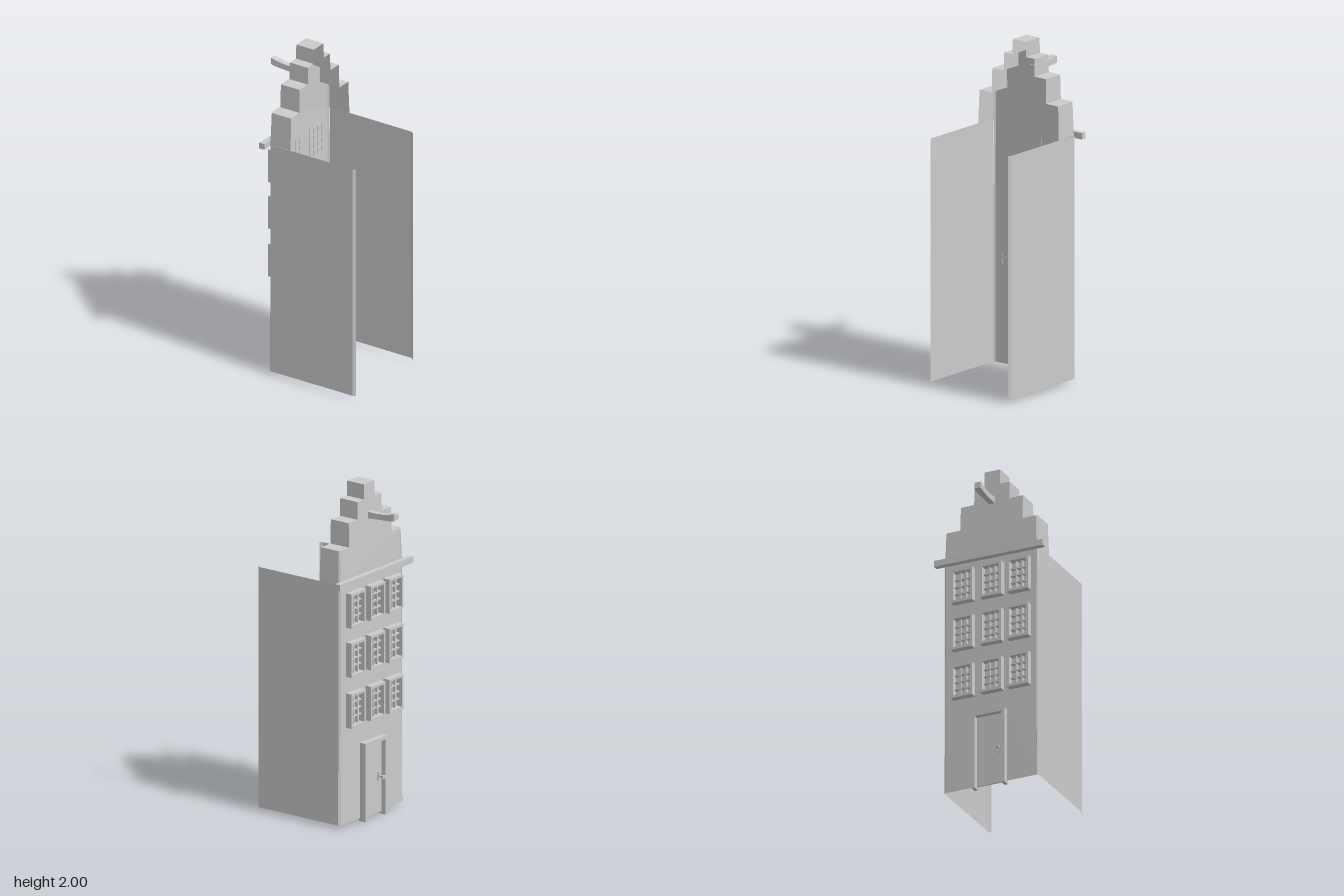
import * as THREE from 'three';

const mat = new THREE.MeshStandardMaterial({ color: 0xcccccc, flatShading: true, side: THREE.DoubleSide });

function add(parent, name, geometry) {
  const m = new THREE.Mesh(geometry, mat);
  m.name = name;
  parent.add(m);
  return m;
}

// Box given by its limits on each axis
function box(parent, name, x0, x1, y0, y1, z0, z1) {
  const m = add(parent, name, new THREE.BoxGeometry(x1 - x0, y1 - y0, z1 - z0));
  m.position.set((x0 + x1) / 2, (y0 + y1) / 2, (z0 + z1) / 2);
  return m;
}

// Surface skinned over rows of points
function skin(rows, closed = false) {
  const pos = [];
  for (let r = 0; r < rows.length - 1; r++) {
    const a = rows[r], b = rows[r + 1], n = a.length;
    for (let i = 0; i < (closed ? n : n - 1); i++) {
      const j = (i + 1) % n;
      for (const p of [a[i], b[i], b[j], a[i], b[j], a[j]]) pos.push(...p);
    }
  }
  const g = new THREE.BufferGeometry();
  g.setAttribute('position', new THREE.Float32BufferAttribute(pos, 3));
  g.computeVertexNormals();
  return g;
}

// The gable leans back and thins out slightly towards the top
const rise = y => Math.max(0, (y - 1.46) / 0.54);
const frontX = y => -0.207 + 0.016 * rise(y);
const backX = y => -0.06 - 0.01 * rise(y);

// Half outline of the stepped facade: z, y, edge bevel
const half = [[0.3, 0.02, 0.01], [0.297, 1.46, 0.01], [0.29, 1.66, 0.008], [0.2, 1.66, 0.003],
  [0.198, 1.805, 0.002], [0.114, 1.805, 0.002], [0.112, 1.91, 0.001], [0.05, 1.91, 0.001], [0.05, 2, 0.001]];

function buildShell(root) {
  const outline = [...half, ...half.slice().reverse().map(([z, y, b]) => [-z, y, b])];

  // Front wall with its stepped top
  const shape = new THREE.Shape(outline.map(([z, y, b]) => new THREE.Vector2(z - Math.sign(z) * b, y)));
  const front = new THREE.ShapeGeometry(shape);
  const p = front.attributes.position;
  for (let i = 0; i < p.count; i++) p.setXYZ(i, frontX(p.getY(i)), p.getY(i), p.getX(i));
  front.computeVertexNormals();
  add(root, 'facade', front);

  // Bevel around the facade and the depth of the steps, open behind
  const upper = outline.slice(1, -1);
  add(root, 'facadeBevel', skin([
    outline.map(([z, y, b]) => [frontX(y), y, z - Math.sign(z) * b]),
    outline.map(([z, y, b]) => [frontX(y) + b, y, z])]));
  add(root, 'steppedGable', skin([
    upper.map(([z, y, b]) => [frontX(y) + b, y, z]),
    upper.map(([z, y]) => [backX(y), y, z])]));

  // Thin side walls with a bevelled rear edge
  for (const s of [1, -1]) {
    const plan = [[-0.197, 0.3], [0.37, 0.298], [0.386, 0.286]];
    add(root, s > 0 ? 'leftSideWall' : 'rightSideWall',
      skin([0.02, 1.46].map(y => plan.map(([x, z]) => [x, y, s * z]))));
  }
}

// Rectangular frame with an open middle, projecting from the facade
function frame(parent, name, x0, x1, y0, y1, z0, z1, t, sill = true) {
  const rect = (a, b, c, d) => [[a, c], [b, c], [b, d], [a, d]].map(q => new THREE.Vector2(...q));
  let shape;
  if (sill) {
    shape = new THREE.Shape(rect(z0, z1, y0, y1));
    shape.holes.push(new THREE.Path(rect(z0 + t, z1 - t, y0 + t, y1 - t)));
  } else {
    shape = new THREE.Shape([[z0, y0], [z0 + t, y0], [z0 + t, y1 - t], [z1 - t, y1 - t],
      [z1 - t, y0], [z1, y0], [z1, y1], [z0, y1]].map(q => new THREE.Vector2(...q)));
  }
  const g = new THREE.ExtrudeGeometry(shape, { depth: x1 - x0, bevelEnabled: false });
  g.rotateY(-Math.PI / 2);
  g.translate(x1, 0, 0);
  add(parent, name, g);
}

function buildWindow(root, y, z) {
  const g = new THREE.Group();
  g.name = 'window';
  const w = 0.068, h = 0.103, t = 0.015, inner = -0.204, outer = -0.226;
  frame(g, 'windowFrame', -0.246, inner, y - h, y + h, z - w, z + w, t);
  // Glazing bars: three panes across, four panes high
  for (let i = 1; i < 3; i++) {
    const c = z - w + t + (i / 3) * 2 * (w - t);
    box(g, 'verticalBar', outer, inner, y - h + t, y + h - t, c - 0.004, c + 0.004);
  }
  for (let i = 1; i < 4; i++) {
    const c = y - h + t + (i / 4) * 2 * (h - t);
    box(g, 'horizontalBar', outer, inner, c - 0.004, c + 0.004, z - w + t, z + w - t);
  }
  root.add(g);
}

function buildDoor(root) {
  const g = new THREE.Group();
  g.name = 'door';
  frame(g, 'doorFrame', -0.245, -0.2, 0, 0.47, -0.107, 0.102, 0.02, false);
  box(g, 'doorPanel', -0.215, -0.207, 0.015, 0.45, -0.087, 0.082);
  box(g, 'lockPlate', -0.222, -0.203, 0.205, 0.26, 0.045, 0.071);
  box(g, 'doorHandleStem', -0.248, -0.222, 0.227, 0.238, 0.052, 0.062);
  box(g, 'doorHandle', -0.256, -0.246, 0.223, 0.242, 0.046, 0.066);
  root.add(g);
}

// Curved hoisting beam, square in section
function buildHoistBeam(root) {
  const stations = [[-0.387, 1.829, 0.018], [-0.38, 1.828, 0.021], [-0.345, 1.82, 0.019], [-0.3, 1.814, 0.017],
    [-0.25, 1.811, 0.017], [-0.19, 1.811, 0.02]];
  const rows = stations.map(([x, y, r]) => [[-1, -1], [1, -1], [1, 1], [-1, 1]].map(([a, b]) => [x, y + b * r, a * r]));
  const cap = row => row.map(() => [row[0][0], (row[0][1] + row[2][1]) / 2, 0]);
  add(root, 'hoistBeam', skin([cap(rows[0]), ...rows, cap(rows[rows.length - 1])], true));
}

export function createModel() {
  const root = new THREE.Group();
  root.name = 'canalHouse';
  buildShell(root);
  for (const y of [1.295, 1.0, 0.695]) for (const z of [0.185, 0.014, -0.17]) buildWindow(root, y, z);
  buildDoor(root);
  box(root, 'cornice', -0.245, -0.21, 1.443, 1.48, -0.345, 0.345);
  buildHoistBeam(root);
  return root;
}
